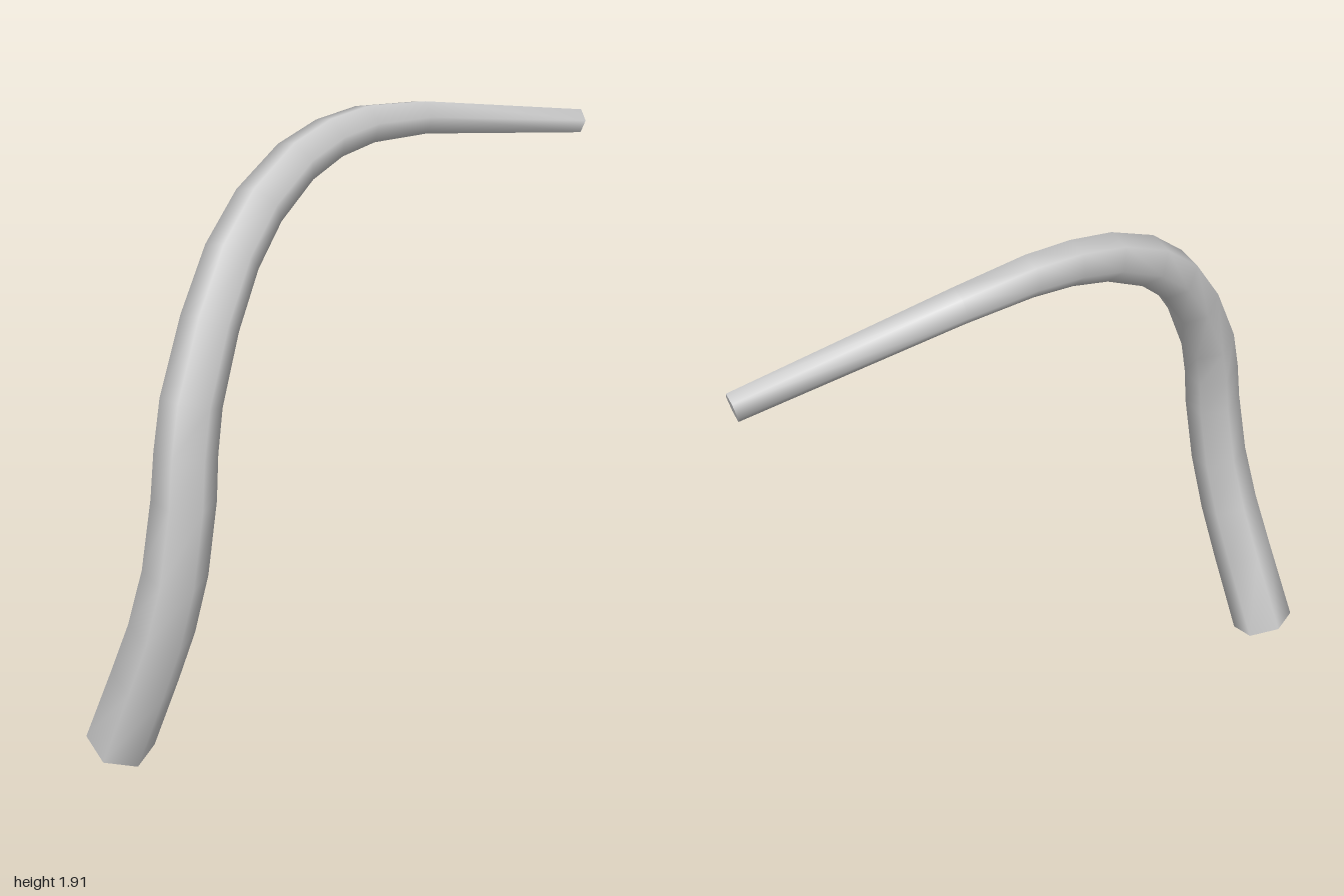
import * as THREE from 'three';

const SIDES = 6;

// Centre line of the bent rod, base to tip: x, y, z, radius
const RINGS = [
  [-0.24, 0.05, 0.89, 0.111],
  [-0.13, 0.35, 0.87, 0.106],
  [-0.06, 0.55, 0.857, 0.102],
  [-0.01, 0.76, 0.838, 0.098],
  [0.01, 1.0, 0.805, 0.095],
  [0.004, 1.14, 0.778, 0.092],
  [-0.004, 1.28, 0.735, 0.09],
  [-0.018, 1.48, 0.622, 0.086],
  [-0.032, 1.635, 0.495, 0.083],
  [-0.04, 1.742, 0.355, 0.079],
  [-0.037, 1.822, 0.18, 0.073],
  [-0.022, 1.855, 0.03, 0.068],
  [0.005, 1.862, -0.12, 0.064],
  [0.065, 1.835, -0.34, 0.057],
  [0.295, 1.696, -0.975, 0.044],
];

// Sweeps a tapering polygon along the rings without twisting it
function taperedRod(rings) {
  const centres = rings.map(([x, y, z]) => new THREE.Vector3(x, y, z));
  const last = rings.length - 1;
  const position = [], index = [];
  const normal = new THREE.Vector3(0, 0, 1);

  centres.forEach((c, i) => {
    const before = i > 0 ? c.clone().sub(centres[i - 1]).normalize() : new THREE.Vector3();
    const after = i < last ? centres[i + 1].clone().sub(c).normalize() : new THREE.Vector3();
    const tangent = before.add(after).normalize();
    normal.addScaledVector(tangent, -normal.dot(tangent)).normalize();
    const side = normal.clone().cross(tangent);
    for (let j = 0; j < SIDES; j++) {
      const a = (j / SIDES) * Math.PI * 2 - 0.21;
      const p = c.clone()
        .addScaledVector(normal, Math.cos(a) * rings[i][3])
        .addScaledVector(side, Math.sin(a) * rings[i][3]);
      position.push(p.x, p.y, p.z);
    }
  });

  // Smooth sides
  for (let i = 0; i < last; i++) {
    for (let j = 0; j < SIDES; j++) {
      const a = i * SIDES + j, b = i * SIDES + (j + 1) % SIDES;
      index.push(a, a + SIDES, b, b, a + SIDES, b + SIDES);
    }
  }

  // Flat end caps on their own vertices
  for (const ring of [0, last]) {
    const start = position.length / 3;
    position.push(...position.slice(ring * SIDES * 3, (ring + 1) * SIDES * 3));
    for (let j = 1; j < SIDES - 1; j++) {
      if (ring === 0) index.push(start, start + j, start + j + 1);
      else index.push(start, start + j + 1, start + j);
    }
  }

  const geometry = new THREE.BufferGeometry();
  geometry.setAttribute('position', new THREE.Float32BufferAttribute(position, 3));
  geometry.setIndex(index);
  geometry.computeVertexNormals();
  return geometry;
}

export function createModel() {
  const group = new THREE.Group();
  group.name = 'bentBranch';
  const branch = new THREE.Mesh(
    taperedRod(RINGS),
    new THREE.MeshStandardMaterial({ color: 0xcccccc }),
  );
  branch.name = 'branch';
  group.add(branch);
  return group;
}
